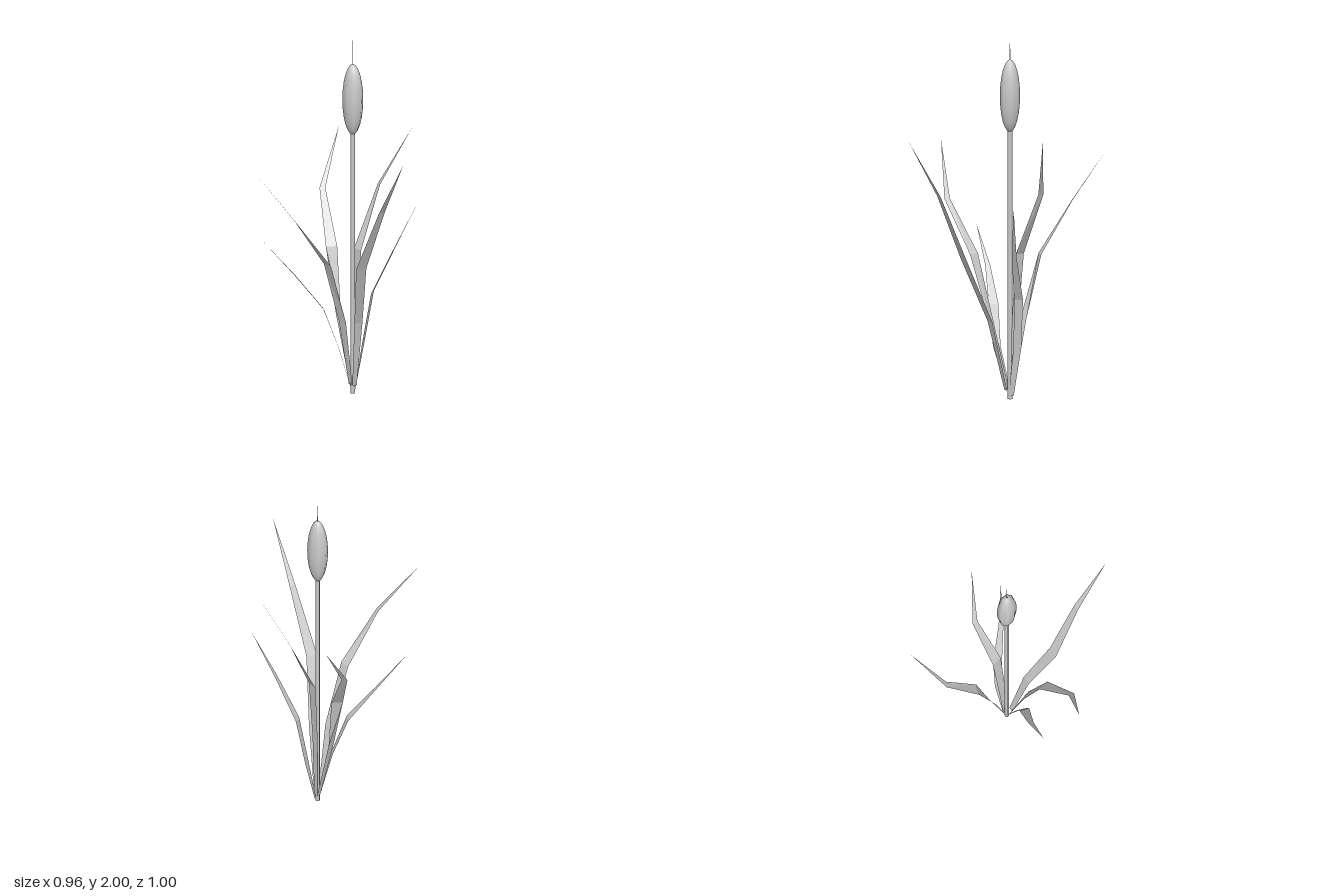
import * as THREE from 'three';

const CX = 0.124, CZ = -0.088;
const grey = new THREE.MeshStandardMaterial({ color: 0xcccccc });
const leafGrey = new THREE.MeshStandardMaterial({ color: 0xcccccc, flatShading: true, side: THREE.DoubleSide });

// Flat blade: each station is [y, x1, z1, x2, z2] (both edges), closing at the tip [y, x, z]
function makeLeaf(stations, tip) {
  const pos = [], index = [];
  for (const [y, x1, z1, x2, z2] of stations) pos.push(x1, y, z1, x2, y, z2);
  pos.push(tip[1], tip[0], tip[2]);
  const last = stations.length - 1;
  for (let i = 0; i < last; i++) {
    const a = i * 2;
    index.push(a, a + 1, a + 2, a + 1, a + 3, a + 2);
  }
  index.push(last * 2, last * 2 + 1, last * 2 + 2);
  const geo = new THREE.BufferGeometry();
  geo.setAttribute('position', new THREE.Float32BufferAttribute(pos, 3));
  geo.setIndex(index);
  geo.computeVertexNormals();
  return new THREE.Mesh(geo, leafGrey);
}

const leaves = {
  leafBackLeft: [[[0.04, 0.115, -0.1, 0.14, -0.1], [0.43, 0.113, -0.2, 0.153, -0.2],
    [0.78, 0.155, -0.31, 0.203, -0.27], [1.06, 0.27, -0.457, 0.29, -0.432]], [1.36, 0.48, -0.5]],
  leafRight: [[[0.055, 0.105, -0.1, 0.105, -0.075], [0.43, 0.01, -0.087, 0.015, -0.041],
    [0.78, -0.1, -0.1, -0.11, -0.04], [1.06, -0.308, -0.127, -0.325, -0.1]], [1.36, -0.48, -0.28]],
  leafFront: [[[0.05, 0.1, -0.07, 0.125, -0.06], [0.43, 0.038, 0, 0.083, 0.018],
    [0.78, -0.068, 0.105, -0.012, 0.13], [1.14, -0.09, 0.29, -0.058, 0.303]], [1.46, -0.13, 0.5]],
  leafLeft: [[[0.04, 0.138, -0.1, 0.136, -0.075], [0.43, 0.157, -0.12, 0.148, -0.073],
    [0.8, 0.185, -0.132, 0.175, -0.072], [1.14, 0.342, -0.097, 0.328, -0.07]], [1.46, 0.45, 0.055]],
  leafFrontLeft: [[[0.02, 0.148, -0.09, 0.125, -0.075], [0.29, 0.21, -0.075, 0.17, -0.058],
    [0.56, 0.245, -0.042, 0.2, -0.022], [0.81, 0.285, 0.072, 0.26, 0.082]], [1.1, 0.352, 0.192]],
  leafBackRight: [[[0.05, 0.115, -0.102, 0.1, -0.085], [0.28, 0.038, -0.12, 0.01, -0.088],
    [0.5, -0.02, -0.18, -0.055, -0.137], [0.69, -0.14, -0.27, -0.16, -0.25]], [0.9, -0.302, -0.362]],
};

export function createModel() {
  const group = new THREE.Group();
  const add = (name, mesh, y) => {
    mesh.name = name;
    mesh.position.set(CX, y, CZ);
    group.add(mesh);
    return mesh;
  };

  // Stem
  add('stem', new THREE.Mesh(new THREE.CylinderGeometry(0.013, 0.013, 1.5, 6), grey), 0.75);

  // Seed head: a long ellipsoid, slightly deeper than wide
  const head = add('seedHead', new THREE.Mesh(new THREE.SphereGeometry(1, 8, 12), grey), 1.665);
  head.scale.set(0.051, 0.2, 0.062);

  // Thin spike on top
  add('spike', new THREE.Mesh(new THREE.ConeGeometry(0.004, 0.15, 4), grey), 1.925);

  // Leaves
  for (const [name, [stations, tip]] of Object.entries(leaves)) {
    const leaf = makeLeaf(stations, tip);
    leaf.name = name;
    group.add(leaf);
  }
  return group;
}
